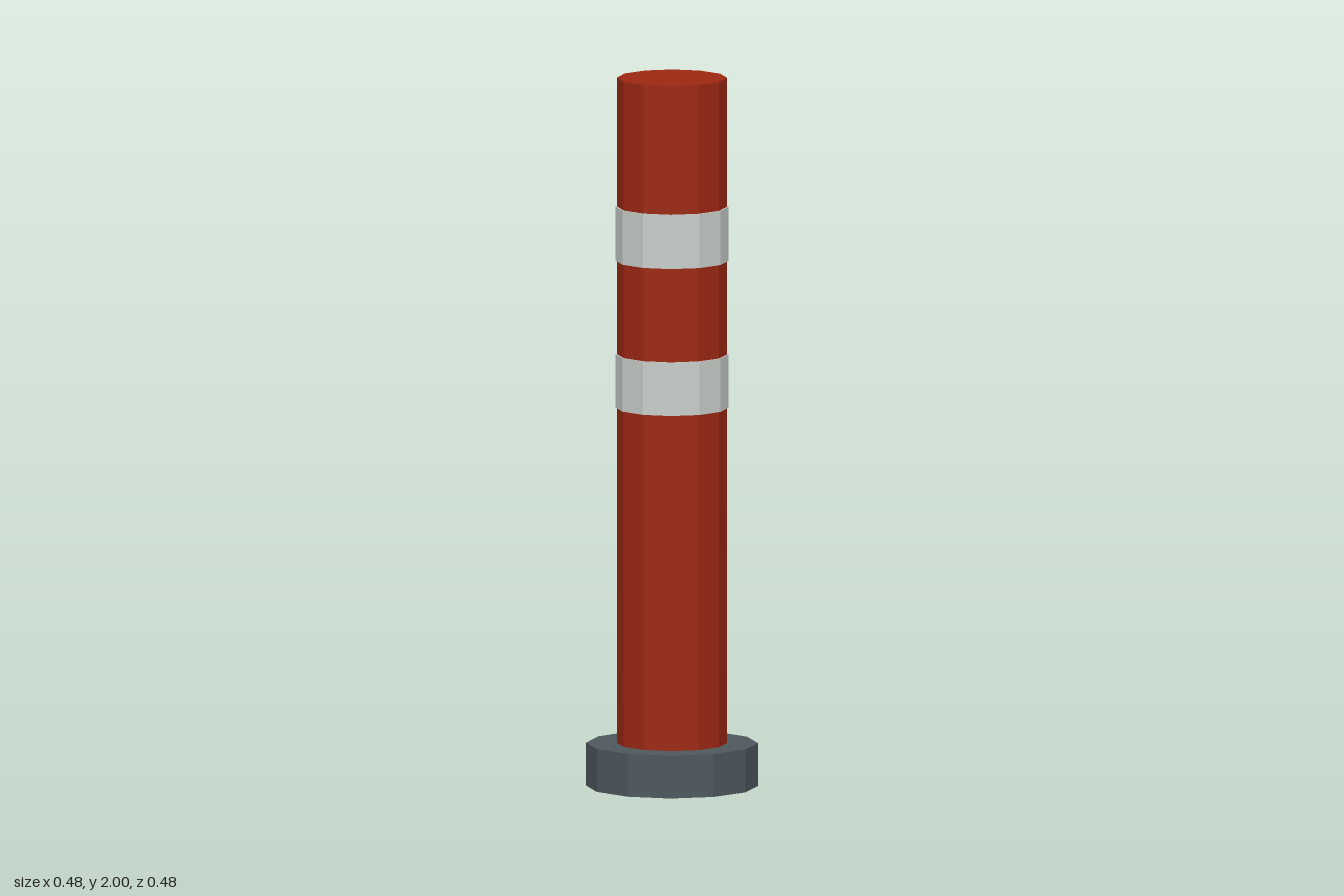
import * as THREE from 'three';

const SIDES = 12;

export function createModel() {
  const model = new THREE.Group();
  model.name = 'bollard';

  const red = new THREE.MeshStandardMaterial({ color: 0x9e2812, flatShading: true });
  red.name = 'red';
  const paleGrey = new THREE.MeshStandardMaterial({ color: 0xc8cecb, flatShading: true });
  paleGrey.name = 'pale grey';
  const slate = new THREE.MeshStandardMaterial({ color: 0x4d585d, flatShading: true });
  slate.name = 'slate';

  // Upright twelve-sided prism between two heights
  function addPrism(name, radius, bottom, top, material) {
    const geometry = new THREE.CylinderGeometry(radius, radius, top - bottom, SIDES);
    const mesh = new THREE.Mesh(geometry, material);
    mesh.name = name;
    mesh.position.y = (bottom + top) / 2;
    model.add(mesh);
  }

  // Foot and post
  addPrism('base', 0.24, 0, 0.121, slate);
  addPrism('post', 0.154, 0.121, 2, red);

  // Reflective bands
  addPrism('lowerBand', 0.158, 1.068, 1.219, paleGrey);
  addPrism('upperBand', 0.158, 1.483, 1.636, paleGrey);

  return model;
}
